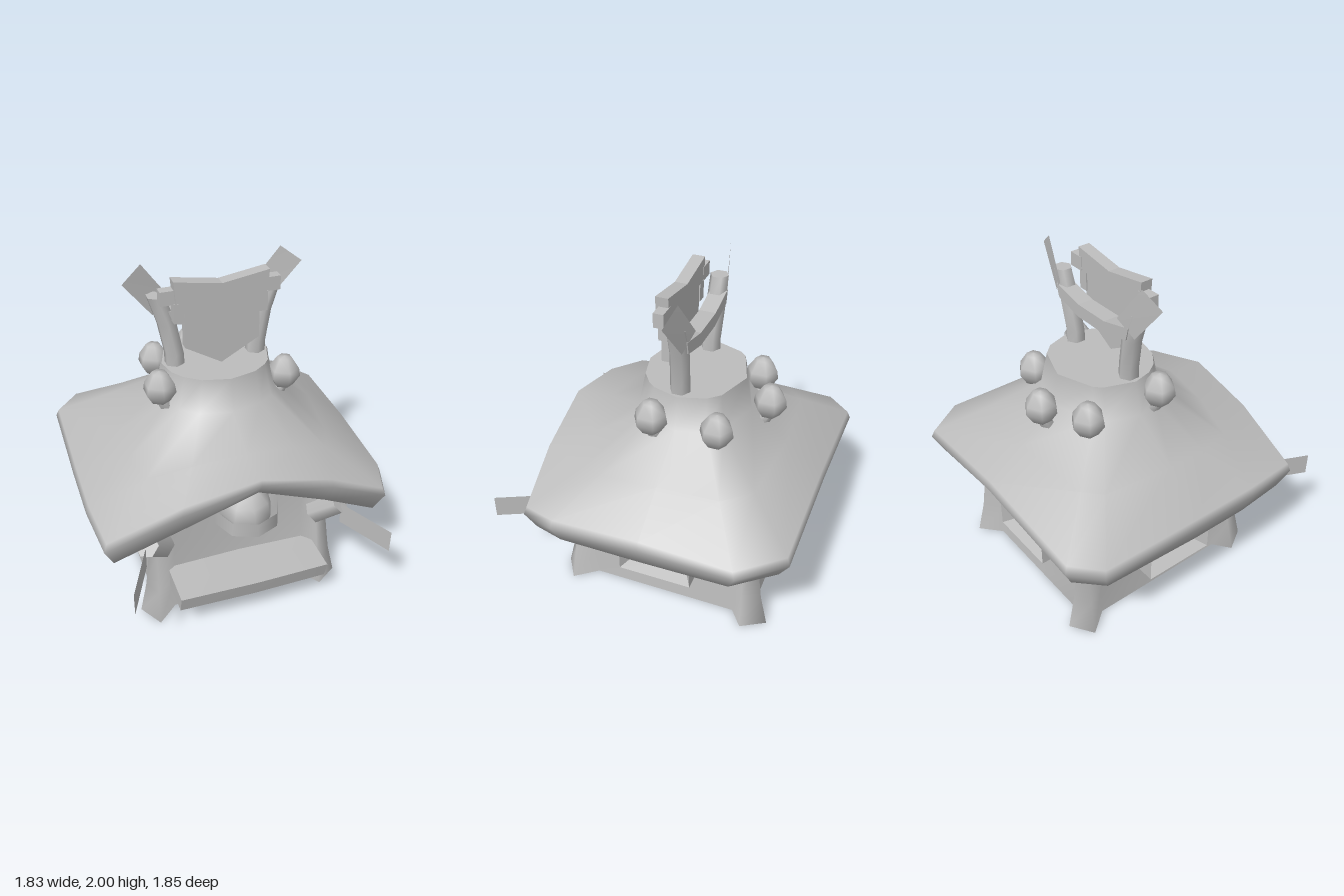
import * as THREE from 'three';

const stone = new THREE.MeshStandardMaterial({ color: 0xbcbcbc, side: THREE.DoubleSide });
stone.name = 'plain grey';

const lerp = THREE.MathUtils.lerp;

function add(parent, geometry, name) {
  const mesh = new THREE.Mesh(geometry, stone);
  mesh.name = name;
  parent.add(mesh);
  return mesh;
}

// Skin a stack of closed rings of [x, y, z]; rings run front, +x, back, -x
function loft(rings, { capStart = false, capEnd = false, flat = false } = {}) {
  const n = rings[0].length, pos = rings.flat(2), index = [];
  for (let i = 0; i < rings.length - 1; i++) {
    for (let j = 0; j < n; j++) {
      const a = i * n + j, b = i * n + (j + 1) % n;
      index.push(a, b, b + n, a, b + n, a + n);
    }
  }
  const cap = (ring, flip) => {
    const s = pos.length / 3;
    pos.push(...ring.flat());
    for (let j = 1; j < n - 1; j++) index.push(s, s + (flip ? j + 1 : j), s + (flip ? j : j + 1));
  };
  if (capStart) cap(rings[0], true);
  if (capEnd) cap(rings[rings.length - 1], false);
  let g = new THREE.BufferGeometry();
  g.setAttribute('position', new THREE.Float32BufferAttribute(pos, 3));
  g.setIndex(index);
  if (flat) g = g.toNonIndexed();
  g.computeVertexNormals();
  return g;
}

// Limb with horizontal cross-sections through stations of [x, y, z, radius]
function limb(stations, sides = 6) {
  return loft(stations.map(([x, y, z, r]) => Array.from({ length: sides }, (_, j) => {
    const t = (j / sides) * Math.PI * 2;
    return [x + r * Math.sin(t), y, z + r * Math.cos(t)];
  })), { capStart: true, capEnd: true });
}

// Flat outline extruded along z and centred on z = 0
function board(points, depth) {
  const shape = new THREE.Shape(points.map(([x, y]) => new THREE.Vector2(x, y)));
  return new THREE.ExtrudeGeometry(shape, { depth, bevelEnabled: false }).translate(0, 0, -depth / 2);
}

// Zero-thickness four-cornered plate
function plate(corners) {
  const g = new THREE.BufferGeometry();
  g.setAttribute('position', new THREE.Float32BufferAttribute(corners.flat(), 3));
  g.setIndex([0, 1, 2, 0, 2, 3]);
  g.computeVertexNormals();
  return g;
}

function makeRoof() {
  // x, z, bottom y, top y around the eave
  const eave = [
    [0, .71, .91, 1.02], [.45, .69, .73, .9], [.82, .66, .55, .72], [.89, .45, .57, .74],
    [.9, -.1, .58, .77], [.91, -.66, .6, .76], [.72, -.91, .61, .78], [0, -.92, .68, .84],
    [-.76, -.92, .6, .78], [-.91, -.77, .6, .77], [-.92, -.1, .58, .77], [-.92, .3, .58, .77],
    [-.89, .65, .58, .76], [-.45, .69, .75, .93],
  ];
  const oval = (x, z, rx, rz, y) => {
    const t = Math.atan2(x, z + .1);
    return [rx * Math.sin(t), y, -.11 + rz * Math.cos(t)];
  };
  const inner = eave.map(([x, z, b]) => [x * .5, lerp(b, .93, .5), -.1 + (z + .1) * .55]);
  const bottom = eave.map(([x, z, b]) => [x * .94, b, z * .93]);
  const rim = eave.map(([x, z, b, t]) => [x, lerp(b, t, .72), z]);
  const top = eave.map(([x, z, b, t]) => [x * .98, t, z * .98]);
  const neck = eave.map(([x, z]) => oval(x, z, .38, .34, 1.18));
  const mid = top.map((p, i) => {
    const front = Math.max(0, Math.cos(Math.atan2(p[0], p[2] + .1)));
    return [lerp(p[0], neck[i][0], .5), lerp(p[1], neck[i][1], .5) - .01 - .05 * front, lerp(p[2], neck[i][2], .5)];
  });
  const collar = eave.map(([x, z]) => oval(x, z, .33, .3, 1.38));
  return loft([inner, bottom, rim, top, mid, neck, collar], { capEnd: true });
}

// Wall ring with a buttress at each corner: w = wall, r = root, t = tip half-size
function wallRing(y, w, r, t, gable) {
  const ring = [];
  for (let k = 0; k < 4; k++) {
    const a = k * Math.PI / 2, c = Math.cos(a), s = Math.sin(a);
    for (const [u, v] of [[0, w], [r * .85, w], [r, t], [t, r + .05]]) {
      const x = u * c + v * s, z = -u * s + v * c;
      ring.push([x - .035, y, z * 1.07 - .085]);
    }
    // near root of the following wall
    const x = w * c + r * .85 * s, z = -w * s + r * .85 * c;
    ring.push([x - .035, y, z * 1.07 - .085]);
  }
  if (gable) {
    ring[0][1] = .98;
    ring[1][1] = ring[19][1] = .8;
    for (const i of [18, 2]) ring[i][1] = .72;
  }
  return ring;
}

// Boxed window facing +z with sloping inner sides
function makeWindow() {
  const rect = (w, h, z) => [[-w, -h, z], [w, -h, z], [w, h, z], [-w, h, z]];
  return loft([rect(.225, .115, -.2), rect(.225, .115, 0), rect(.14, .065, -.14)], { capEnd: true, flat: true });
}

export function createModel() {
  const hut = new THREE.Group();
  hut.name = 'hut';

  add(hut, makeRoof(), 'roof');
  add(hut, loft([
    wallRing(0, .53, .5, .635),
    wallRing(.2, .51, .49, .59),
    wallRing(.48, .49, .48, .555),
    wallRing(.74, .49, .48, .53, true),
  ]), 'walls');

  // Knobs on top of the corner buttresses
  for (const sx of [-1, 1]) for (const sz of [-1, 1]) {
    const knob = add(hut, new THREE.CylinderGeometry(.075, .085, .2, 6), 'cornerKnob');
    knob.position.set(sx * .545 - .035, .565, sz * .6 - .085);
    knob.quaternion.setFromUnitVectors(new THREE.Vector3(0, 1, 0), new THREE.Vector3(sx, 1.1, sz).normalize());
  }

  // Side and back windows
  for (const [x, z, a] of [[.67, -.095, Math.PI / 2], [-.75, -.095, -Math.PI / 2], [-.03, -.75, Math.PI]]) {
    const w = add(hut, makeWindow(), 'window');
    w.position.set(x, .405, z);
    w.rotation.y = a;
  }

  // Diagonal plates at the front corners
  for (const [x0, x1] of [[.56, .72], [-.65, -.8]]) {
    add(hut, plate([[x0, .49, .6], [x1, .49, .93], [x1, .63, .93], [x0, .63, .6]]), 'cornerPlate');
  }

  // Front ledge, bent slightly at the middle
  const ledge = new THREE.BoxGeometry(.92, .11, .3, 2, 1, 1);
  const p = ledge.attributes.position;
  for (let i = 0; i < p.count; i++) {
    const middle = Math.abs(p.getX(i)) < .01;
    if (p.getZ(i) > 0) p.setZ(i, p.getZ(i) + (p.getY(i) > 0 ? .01 : -.02) - (middle ? 0 : .02));
    if (middle) p.setY(i, p.getY(i) + .012);
  }
  ledge.computeVertexNormals();
  add(hut, ledge, 'ledge').position.set(-.03, .245, .6);

  // Round lamp with its band
  add(hut, new THREE.SphereGeometry(.155, 8, 6), 'lamp').position.set(-.02, .695, .52);
  add(hut, new THREE.CylinderGeometry(.195, .195, .095, 8, 1, true), 'lampBand').position.set(-.02, .685, .53);

  // Mushrooms around the neck of the roof
  const capProfile = [[0, -.09], [.06, -.085], [.1, -.02], [.092, .03], [.045, .1], [0, .11]]
    .map(([x, y]) => new THREE.Vector2(x, y));
  for (const [x, y, z] of [[-.38, 1.3, .02], [.4, 1.26, .02], [.34, 1.22, -.35], [-.3, 1.24, -.42], [-.03, 1.235, -.55]]) {
    const mushroom = new THREE.Group();
    mushroom.name = 'mushroom';
    mushroom.position.set(x, y, z);
    const k = Math.hypot(x, z + .1), dx = -x / k, dz = -(z + .1) / k;
    add(mushroom, new THREE.LatheGeometry(capProfile, 6), 'mushroomCap');
    add(mushroom, limb([[dx * .05, -.18, dz * .05, .035], [dx * .04, -.13, dz * .04, .052], [0, -.06, 0, .035]]), 'mushroomStem');
    hut.add(mushroom);
  }

  // Horn-like uprights with tilted plates
  for (const s of [-1, 1]) {
    add(hut, limb([[s * .25, 1.3, -.1, .062], [s * .255, 1.45, -.1, .06], [s * .29, 1.64, -.11, .06], [s * .35, 1.82, -.11, .056]]), 'upright');
    add(hut, plate([[s * .26, 1.78, -.19], [s * .36, 1.68, -.15], [s * .535, 1.91, -.11], [s * .415, 2, -.15]]), 'uprightPlate');
  }

  // Sagging bar between the uprights
  const sag = [[-.31, 1.66], [-.12, 1.61], [.12, 1.61], [.31, 1.66], [.33, 1.74], [.12, 1.69], [-.12, 1.69], [-.33, 1.74]];
  add(hut, board(sag, .1), 'backBar').position.z = -.12;

  // Hanging board with its top beam and end pegs
  add(hut, board([[-.22, 1.53], [0, 1.4], [.23, 1.53], [.23, 1.84], [-.22, 1.84]], .05), 'hangingBoard').position.z = -.005;
  add(hut, board([[-.27, 1.82], [0, 1.78], [.27, 1.82], [.28, 1.95], [0, 1.905], [-.28, 1.95]], .075), 'topBeam').position.z = -.005;
  for (const s of [-1, 1]) {
    add(hut, new THREE.BoxGeometry(.1, .085, .06), 'beamPeg').position.set(s * .305, 1.85, -.015);
    add(hut, new THREE.BoxGeometry(.06, .12, .055), 'beamBracket').position.set(s * .25, 1.75, -.01);
  }

  return hut;
}
